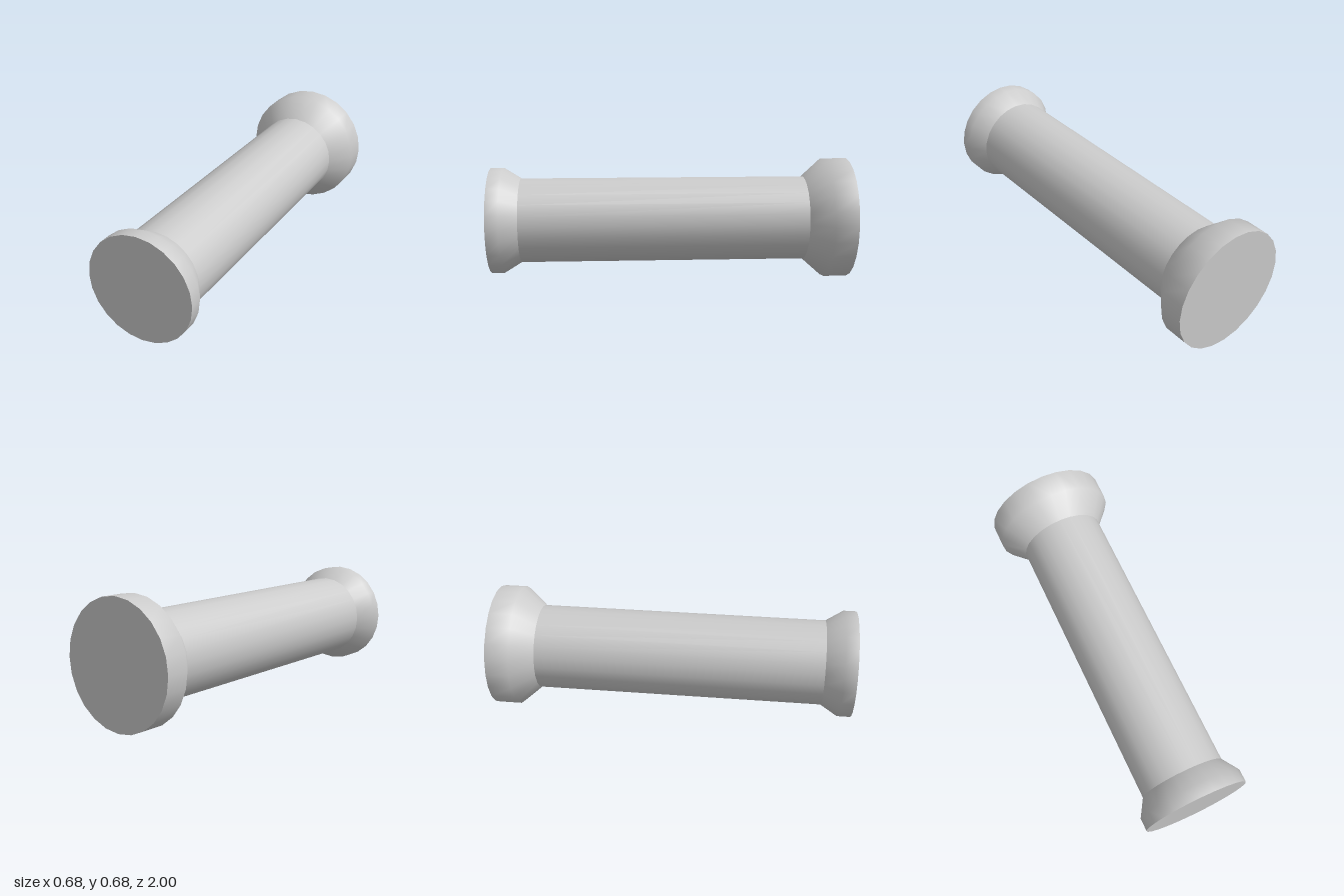
import * as THREE from 'three';

const SIDES = 24;
const AXIS_Y = 0.338;

export function createModel() {
  const model = new THREE.Group();
  const material = new THREE.MeshStandardMaterial({ color: 0xcccccc });

  const add = (name, geometry, parent = model) => {
    const mesh = new THREE.Mesh(geometry, material);
    mesh.name = name;
    parent.add(mesh);
    return mesh;
  };

  // Surface of revolution along z; profile is [radius, z] with z ascending
  const turned = (profile) =>
    new THREE.LatheGeometry(profile.map(([r, z]) => new THREE.Vector2(r, z)), SIDES)
      .rotateX(Math.PI / 2);

  // Flared end: smooth collar closed by a flat disc
  const flaredEnd = (name, profile, radius, z) => {
    const group = new THREE.Group();
    group.name = name;
    add(name + 'Collar', turned(profile), group);
    const disc = add(name + 'Disc', new THREE.CircleGeometry(radius, SIDES), group);
    disc.position.z = z;
    if (z < 0) disc.rotation.y = Math.PI;
    model.add(group);
  };

  // Straight shaft
  add('shaft', turned([[0.236, -0.755], [0.236, 0.835]]));

  // Wide back end and smaller front end
  flaredEnd('backEnd', [[0.338, -1], [0.338, -0.87], [0.236, -0.755]], 0.338, -1);
  flaredEnd('frontEnd', [[0.236, 0.835], [0.295, 0.93], [0.295, 1]], 0.295, 1);

  // Rest the wide end on the ground
  model.children.forEach((part) => { part.position.y = AXIS_Y; });
  return model;
}
